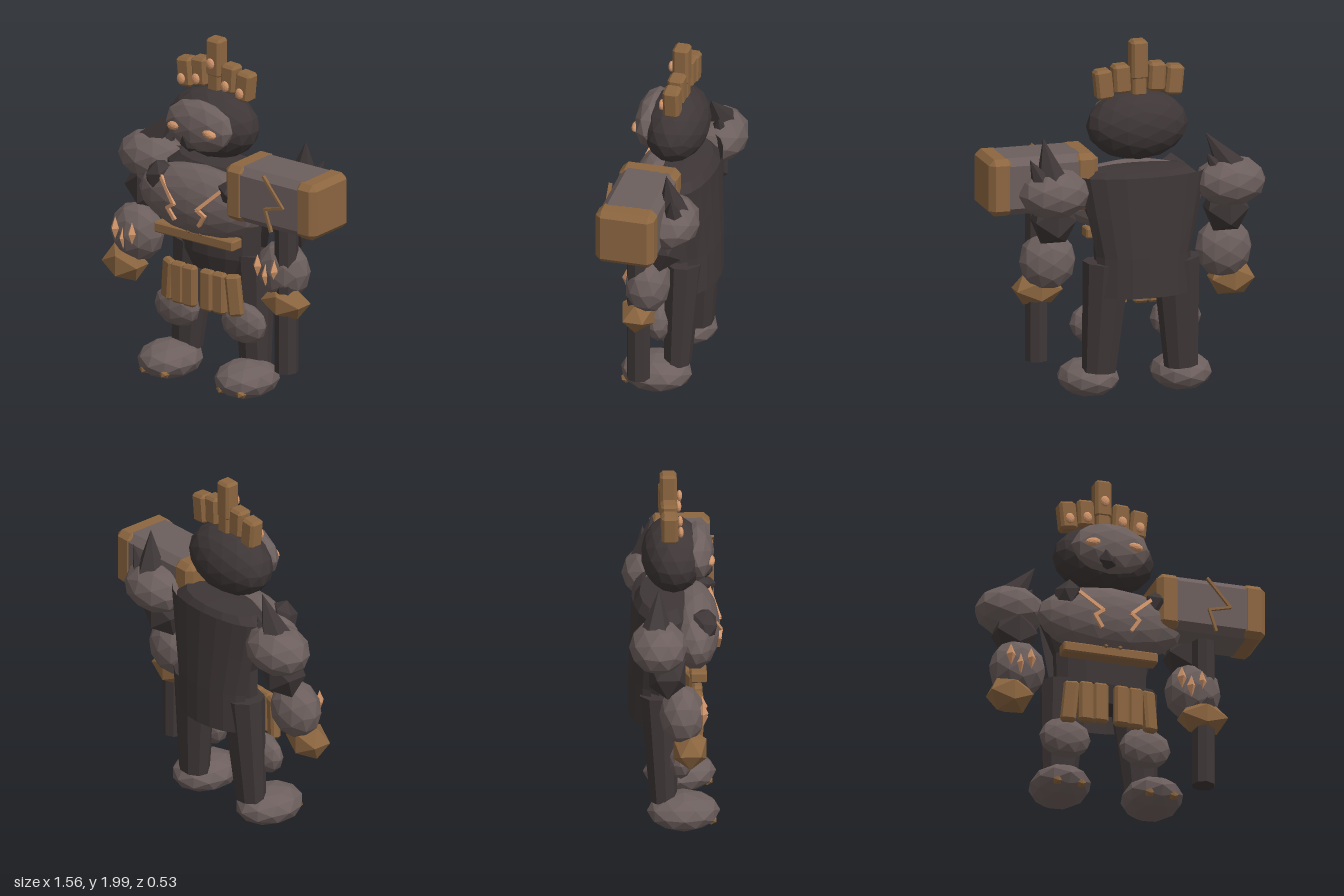
import * as THREE from 'three';
import { ConvexGeometry } from 'three/addons/geometries/ConvexGeometry.js';

const CX = -0.08; // body axis

function mat(name, color, extra = {}) {
  const m = new THREE.MeshStandardMaterial({ color, flatShading: true, ...extra });
  m.name = name;
  return m;
}

export function createModel() {
  const root = new THREE.Group();
  root.name = 'stoneGolem';
  const stone = mat('stone', 0x6c5f5d);
  const dark = mat('darkRock', 0x3f3737, { side: THREE.DoubleSide });
  const bronze = mat('bronze', 0x8c6640);
  const ember = mat('ember', 0xd0946a);

  function add(name, geo, material, [x, y, z], [rx, ry, rz] = [0, 0, 0], parent = root) {
    const m = new THREE.Mesh(geo, material);
    m.name = name;
    m.position.set(x, y, z);
    m.rotation.set(rx, ry, rz);
    parent.add(m);
    return m;
  }
  // faceted boulder with given half sizes
  function rock(name, material, pos, size, detail = 1, rot) {
    const g = new THREE.IcosahedronGeometry(1, detail);
    const k = detail === 0 ? 1.17 : 1;
    g.scale(size[0] * k, size[1] * k, size[2] * k);
    g.computeVertexNormals();
    return add(name, g, material, pos, rot);
  }
  // box with all edges cut
  function block(name, material, pos, [w, h, d], c, rot) {
    const pts = [];
    for (const sx of [-1, 1]) for (const sy of [-1, 1]) for (const sz of [-1, 1])
      for (let a = 0; a < 3; a++) {
        const cut = [c, c, c];
        cut[a] = 0;
        pts.push(new THREE.Vector3(sx * (w / 2 - cut[0]), sy * (h / 2 - cut[1]), sz * (d / 2 - cut[2])));
      }
    return add(name, new ConvexGeometry(pts), material, pos, rot);
  }
  // angular bar following a list of points
  function crack(name, material, pts, w, d) {
    const g = new THREE.Group();
    g.name = name;
    root.add(g);
    for (let i = 0; i + 1 < pts.length; i++) {
      const a = new THREE.Vector3(...pts[i]), b = new THREE.Vector3(...pts[i + 1]);
      const geo = new THREE.BoxGeometry(w, d, a.distanceTo(b) + w * 0.6);
      const m = add(name + 'Bar', geo, material, a.clone().lerp(b, 0.5).toArray(), [0, 0, 0], g);
      m.up.set(0, 0, 1);
      m.lookAt(b);
    }
  }
  function spike(name, base, tip, r) {
    const a = new THREE.Vector3(...base), b = new THREE.Vector3(...tip);
    const dir = b.clone().sub(a);
    const m = add(name, new THREE.ConeGeometry(r, dir.length(), 6), dark, a.lerp(b, 0.5).toArray());
    m.quaternion.setFromUnitVectors(new THREE.Vector3(0, 1, 0), dir.normalize());
  }

  // head, face and eyes
  rock('head', dark, [CX, 1.52, -0.01], [0.285, 0.195, 0.175], 2);
  rock('face', stone, [CX, 1.535, 0.12], [0.225, 0.15, 0.095], 1);
  rock('nose', dark, [-0.115, 1.455, 0.165], [0.05, 0.06, 0.04], 0, [0, 0, 0.5]);
  for (const s of [-1, 1])
    rock('eye', ember, [CX + s * 0.12, 1.53, 0.19], [0.045, 0.026, 0.025], 1, [0, 0, -s * 0.15]);

  // crown of blocks, each with a bead
  for (let i = -2; i <= 2; i++) {
    const a = Math.abs(i), y = [1.89, 1.79, 1.765][a], h = [0.22, 0.16, 0.165][a];
    const x = CX + i * 0.1;
    block('crownBlock', bronze, [x, y, -0.035], [0.095, h, 0.09], 0.015, [0, 0, -i * 0.05]);
    rock('crownBead', ember, [x, [1.865, 1.755, 1.735][a], 0.025], [0.026, 0.032, 0.016]);
  }
  block('crownPost', bronze, [CX, 1.75, -0.035], [0.08, 0.12, 0.08], 0.012);

  // torso core
  const profile = [[0, 0.66], [0.2, 0.66], [0.26, 0.76], [0.265, 0.95], [0.35, 1.16], [0.345, 1.23], [0.27, 1.29], [0, 1.3]]
    .map(p => new THREE.Vector2(...p));
  const torso = new THREE.LatheGeometry(profile, 14);
  torso.scale(1, 1, 0.45);
  add('torso', torso, dark, [CX, 0, -0.07]);

  // curved back plate, wide at the shoulders
  const cape = new THREE.CylinderGeometry(1, 1, 0.67, 8, 3, true, Math.PI - 1.4, 2.8);
  const p = cape.attributes.position;
  for (let i = 0; i < p.count; i++) {
    const t = THREE.MathUtils.clamp((p.getY(i) + 0.1) / 0.4, 0, 1);
    p.setX(i, p.getX(i) * (0.27 + 0.09 * t));
    p.setZ(i, p.getZ(i) * 0.14 + 0.02 * t);
  }
  add('backPlate', cape, dark, [CX, 0.935, -0.115]);

  // chest with glowing cracks
  rock('chest', stone, [CX, 1.1, 0.1], [0.415, 0.2, 0.145], 2);
  for (const s of [-1, 1]) {
    crack('chestCrack', ember, [[0.205, 1.22, 0.19], [0.08, 1.1, 0.242], [0.125, 1.07, 0.235], [0.085, 1.01, 0.228]]
      .map(([x, y, z]) => [CX + s * x, y, z]), 0.02, 0.03);
    rock('chestShard', dark, [CX + s * 0.255, 1.205, 0.15], [0.065, 0.085, 0.07], 0, [0.3, 0.4, s * 0.5]);
  }

  // belt and hip plates
  block('belt', bronze, [-0.09, 0.9, 0.12], [0.54, 0.06, 0.09], 0.008);
  for (const s of [-1, 1]) {
    rock('beltStud', bronze, [CX + s * 0.04, 0.93, 0.165], [0.012, 0.012, 0.012], 0);
    block('hipPlate', bronze, [CX + s * 0.06, 0.598, 0.125], [0.085, 0.235, 0.055], 0.014);
    block('hipPlate', bronze, [CX + s * 0.14, 0.598, 0.12], [0.085, 0.235, 0.055], 0.014);
    block('sideHipPlate', bronze, [CX + s * 0.225, 0.598, 0.1], [0.085, 0.235, 0.055], 0.014, [0, s * 0.4, s * 0.1]);
  }

  for (const s of [-1, 1]) {
    // legs: tapered column leaning outward
    const leg = new THREE.CylinderGeometry(0.135, 0.095, 0.62, 9, 2);
    leg.scale(1, 1, 0.8);
    add('leg', leg, dark, [CX + s * 0.215, 0.475, -0.085], [-0.04, 0, s * 0.06]);
    rock('knee', stone, [CX + s * 0.228, 0.415, 0.02], [0.147, 0.118, 0.075]);
    rock('foot', stone, [CX + s * 0.263, 0.11, 0.037], [0.17, 0.104, 0.2]);
    for (const t of [-0.06, 0.075])
      rock('toeNugget', bronze, [CX + s * 0.263 + t, 0.075, 0.185], [0.025, 0.022, 0.03], 0);

    // arms
    rock('shoulder', stone, [CX + s * 0.5, 1.19, -0.11], [0.2, 0.142, 0.16]);
    rock('upperArm', dark, [CX + s * 0.49, 1.03, -0.06], [0.115, 0.13, 0.1], 0);
    rock('forearm', stone, [CX + s * 0.5, 0.785, 0.02], [0.16, 0.168, 0.125]);
    [[-0.055, 0.82], [0, 0.775], [0.06, 0.81]].forEach(([x, y]) => {
      const g = new THREE.OctahedronGeometry(1);
      g.scale(0.027, 0.065, 0.03);
      add('armCrystal', g, ember, [CX + s * 0.5 + x + (s < 0 ? -0.015 : -0.04), y, 0.13]);
    });
  }
  rock('rightHand', bronze, [-0.635, 0.605, 0.06], [0.12, 0.095, 0.09], 0);
  rock('leftHand', bronze, [0.465, 0.62, 0.06], [0.13, 0.085, 0.09], 0);

  // shoulder spikes
  spike('rightSpike', [-0.58, 1.27, -0.12], [-0.44, 1.47, -0.1], 0.09);
  spike('rightSmallSpike', [-0.52, 1.24, -0.12], [-0.44, 1.36, -0.14], 0.07);
  spike('leftSpike', [0.44, 1.27, -0.13], [0.48, 1.505, -0.1], 0.09);
  spike('leftSmallSpike', [0.49, 1.25, -0.14], [0.57, 1.4, -0.15], 0.07);

  // hammer
  const HX = 0.47, HZ = 0.06;
  add('hammerHandle', new THREE.CylinderGeometry(0.065, 0.065, 0.9, 8), dark, [HX, 0.67, HZ]);
  block('hammerHead', stone, [HX, 1.235, HZ], [0.5, 0.318, 0.318], 0.04);
  for (const s of [-1, 1])
    block('hammerCap', bronze, [HX + s * 0.24, 1.235, HZ], [0.14, 0.318, 0.328], 0.032);
  crack('hammerCrack', bronze, [[0.44, 1.385, 0.225], [0.57, 1.23, 0.225], [0.45, 1.2, 0.225], [0.49, 1.08, 0.225]], 0.014, 0.02);

  return root;
}
